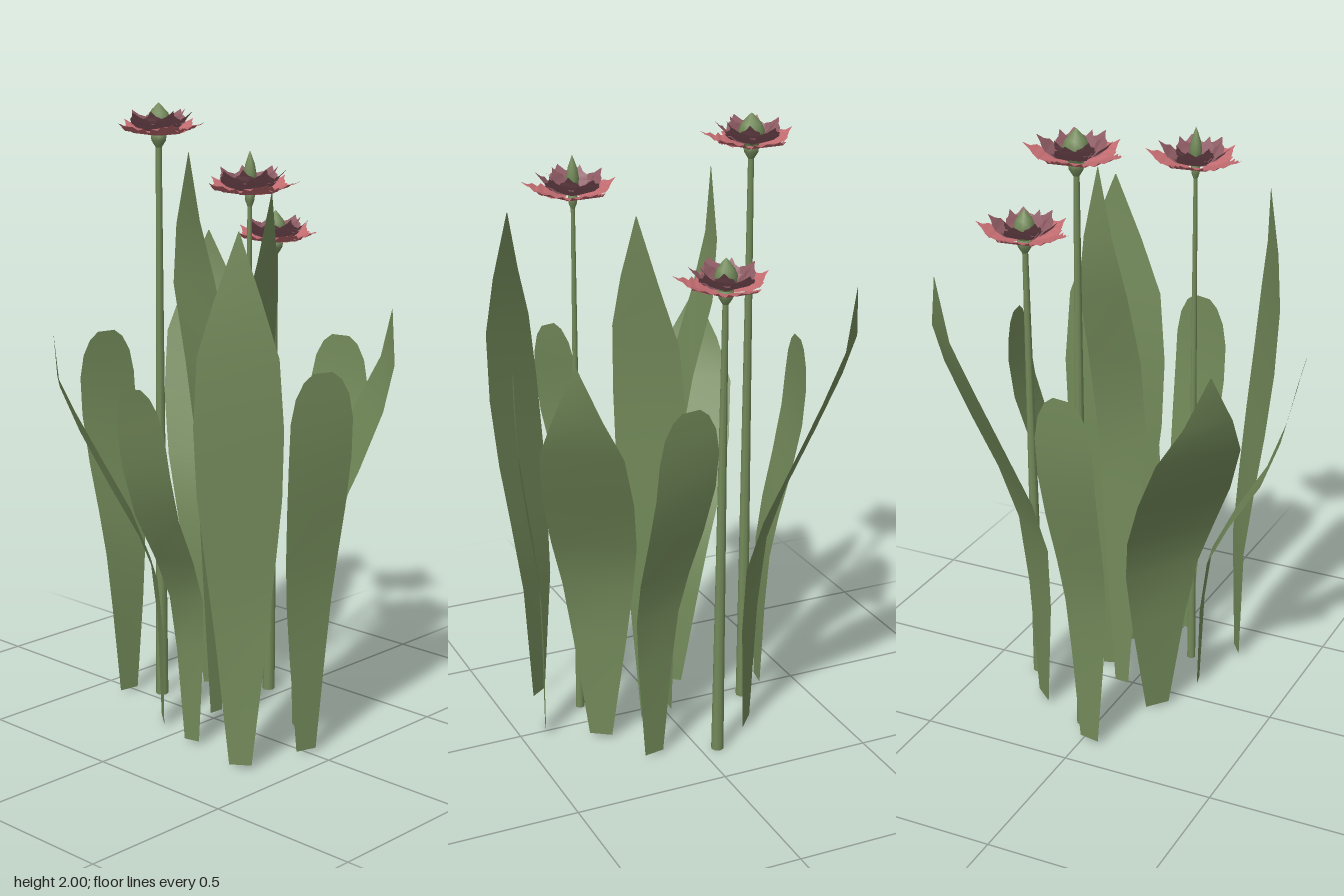
import * as THREE from 'three';

const leafGreen = new THREE.MeshStandardMaterial({ color: 0x738a5a, side: THREE.DoubleSide });
leafGreen.name = 'leafGreen';
const petalPink = new THREE.MeshStandardMaterial({ color: 0xc26c70, side: THREE.DoubleSide });
petalPink.name = 'petalPink';
const petalMauve = new THREE.MeshStandardMaterial({ color: 0x8c5a62, side: THREE.DoubleSide });
petalMauve.name = 'petalMauve';

// Strip of left/right point pairs, one pair per row
function ribbon(rows) {
  const pos = [], idx = [];
  rows.forEach(([l, r], i) => {
    pos.push(...l, ...r);
    const a = i * 2;
    if (i < rows.length - 1) idx.push(a, a + 1, a + 2, a + 1, a + 3, a + 2);
  });
  const g = new THREE.BufferGeometry();
  g.setAttribute('position', new THREE.Float32BufferAttribute(pos, 3));
  g.setIndex(idx);
  g.computeVertexNormals();
  return g;
}

// Blade outlines: [fraction of height, fraction of full width]
const pointed = [[0, 0.26], [0.25, 0.6], [0.4, 0.8], [0.52, 0.95], [0.65, 1], [0.78, 0.9], [0.88, 0.52], [1, 0.01]];
const rounded = [[0, 0.32], [0.25, 0.58], [0.4, 0.73], [0.52, 0.84], [0.65, 0.94], [0.78, 1], [0.88, 0.99],
  [0.94, 0.85], [0.98, 0.6], [1, 0.3]];

// Bends: fraction of the lean reached at each row of the outline
const arched = [0, 0.02, 0.08, 0.26, 0.53, 0.79, 0.96, 1];
const lateBend = [0, 0, 0, 0, 0.3, 0.8, 1, 0.98];
const upright = [0, 0, 0, 0, 0.05, 0.35, 0.75, 1];
const bowed = [0, -0.03, 0.27, 0.55, 0.83, 1.02, 1.05, 0.9];
const roundBend = [0, 0.03, 0.1, 0.31, 0.62, 0.88, 0.97, 0.99, 1, 1];
const slowBend = [0, 0.03, 0.1, 0.32, 0.62, 0.8, 0.89, 0.94, 0.98, 1];

// Leaf rising from base (x, z) and bending over to tip (x, z)
function leafGeometry(outline, bend, [bx, bz], [tx, tz], height, width) {
  const dx = tx - bx, dz = tz - bz, len = Math.hypot(dx, dz);
  const ax = -dz / len, az = dx / len;
  return ribbon(outline.map(([t, w], i) => {
    const x = bx + dx * bend[i], z = bz + dz * bend[i];
    const y = 0.01 + t * (height - 0.01), h = w * width / 2;
    return [[x - ax * h, y, z - az * h], [x + ax * h, y, z + az * h]];
  }));
}

// Petal outlines: [radius, half width, rise], with a notched, ruffled margin
const outerPetal = [[0.022, 0.016, 0], [0.06, 0.052, 0.006], [0.085, 0.066, 0.02], [0.092, 0.055, 0.014],
  [0.108, 0.056, 0.028], [0.116, 0.037, 0.022], [0.132, 0.027, 0.034], [0.145, 0.011, 0.034], [0.164, 0.001, 0.044]];
const innerPetal = [[0.018, 0.016, 0.008], [0.05, 0.046, 0.022], [0.07, 0.056, 0.04], [0.077, 0.045, 0.038],
  [0.09, 0.038, 0.054], [0.1, 0.018, 0.06], [0.117, 0.001, 0.076]];
const petalAngles = [-95, -4, 65, 118, 184];
const reach = [0.9, 1.03, 0.95, 0.96, 1];

function addPetals(parent, name, outline, material, turn, size, lift) {
  const geo = ribbon(outline.map(([r, h, y]) => [[r, y, h], [r, y, -h]]));
  petalAngles.forEach((deg, i) => {
    const petal = new THREE.Mesh(geo, material);
    petal.name = name;
    petal.rotation.y = -THREE.MathUtils.degToRad(deg + turn);
    petal.scale.set(reach[i] * size, lift, size);
    parent.add(petal);
  });
}

function lathe(points, sides) {
  return new THREE.LatheGeometry(points.map(([r, y]) => new THREE.Vector2(r, y)), sides);
}

// Stem with calyx, three rings of petals and a central bud
function createFlower([x, z], lean, petalY, topY, stemRadius, calyxSize, budRadius) {
  const flower = new THREE.Group();
  flower.name = 'flower';
  flower.position.set(x, 0, z);
  const add = (name, geo) => {
    const m = new THREE.Mesh(geo, leafGreen);
    m.name = name;
    m.position.y = petalY;
    flower.add(m);
    return m;
  };
  const stem = add('stem', new THREE.CylinderGeometry(stemRadius * 0.45, stemRadius, petalY, 8));
  stem.position.set(-lean / 2, petalY / 2, 0);
  stem.rotation.z = -lean / petalY;
  const calyx = add('calyx', lathe([[0.009, -0.04], [0.023, -0.018], [0.026, 0.002], [0.012, 0.008]], 8));
  calyx.scale.set(calyxSize, 1, calyxSize);
  const h = topY - petalY;
  add('bud', lathe([[budRadius * 0.5, 0], [budRadius * 0.9, h * 0.3], [budRadius, h * 0.45],
    [budRadius * 0.75, h * 0.68], [budRadius * 0.3, h * 0.88], [0, h]], 9));
  const head = new THREE.Group();
  head.name = 'petals';
  head.position.y = petalY;
  addPetals(head, 'outerPetal', outerPetal, petalPink, 0, 1, 1);
  addPetals(head, 'innerPetal', innerPetal, petalMauve, -5, 1, 1);
  addPetals(head, 'smallPetal', innerPetal, petalMauve, 34, 0.72, 1.05);
  flower.add(head);
  return flower;
}

export function createModel() {
  const plant = new THREE.Group();
  plant.name = 'floweringPlant';

  // Leaves: outline, bend, base, tip, height, width
  const leaves = [
    [pointed, arched, [-0.138, -0.10], [-0.40, -0.31], 1.31, 0.32],
    [pointed, arched, [0.23, -0.21], [0.44, -0.45], 1.54, 0.33],
    [pointed, arched, [0.11, 0.26], [0.36, 0.428], 1.38, 0.285],
    [pointed, lateBend, [0.032, -0.02], [0.042, -0.155], 1.85, 0.19],
    [pointed, upright, [0.102, 0.08], [0.122, 0.132], 1.74, 0.32],
    [pointed, bowed, [-0.237, 0.343], [-0.305, 0.392], 1.68, 0.27],
    [rounded, slowBend, [-0.20, 0.095], [-0.518, 0.175], 1.22, 0.165],
    [rounded, roundBend, [-0.025, -0.38], [-0.005, -0.495], 1.24, 0.215],
    [rounded, roundBend, [0.29, 0.15], [0.48, 0.117], 1.24, 0.215],
    [rounded, roundBend, [-0.005, 0.41], [-0.028, 0.48], 1.24, 0.22],
  ];
  for (const spec of leaves) {
    const leaf = new THREE.Mesh(leafGeometry(...spec), leafGreen);
    leaf.name = spec[0] === pointed ? 'pointedLeaf' : 'roundedLeaf';
    plant.add(leaf);
  }

  // Flowers: position, stem lean, petal height, top, stem radius, calyx size, bud radius
  plant.add(createFlower([0.043, -0.288], 0, 1.897, 2.0, 0.021, 1, 0.042));
  plant.add(createFlower([-0.1, 0.245], 0.008, 1.76, 1.89, 0.015, 0.6, 0.02));
  plant.add(createFlower([0.347, -0.056], 0.018, 1.546, 1.65, 0.021, 1, 0.036));
  return plant;
}
